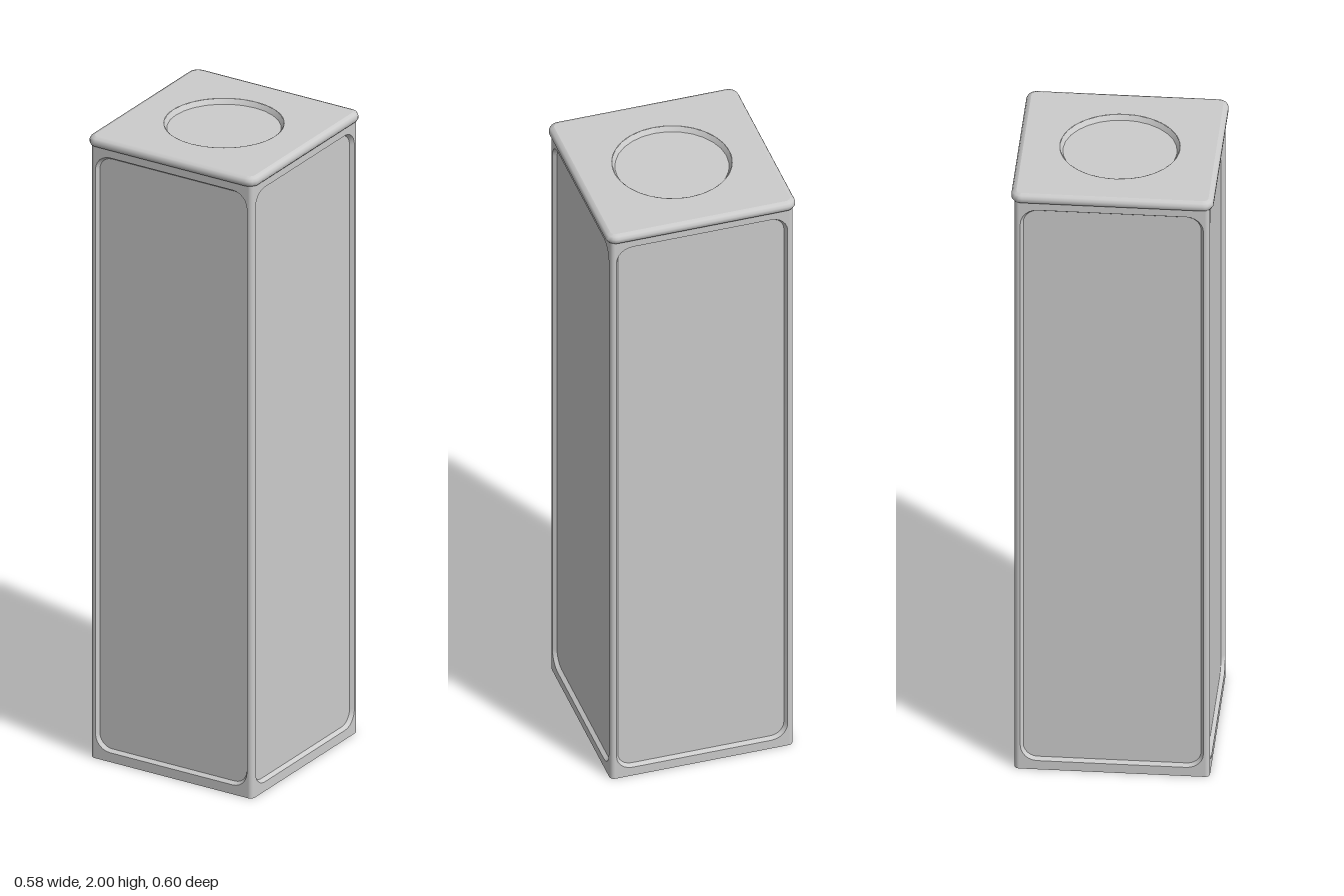
import * as THREE from 'three';
import { toCreasedNormals } from 'three/addons/utils/BufferGeometryUtils.js';

const HX = 0.282, HZ = 0.288, BODY_TOP = 1.975, POST_R = 0.014;
const material = new THREE.MeshStandardMaterial({ color: 0xcccccc, side: THREE.DoubleSide });

function add(group, name, geometry) {
  const mesh = new THREE.Mesh(geometry, material);
  mesh.name = name;
  group.add(mesh);
  return mesh;
}

// Counter-clockwise rounded rectangle about the origin
function roundedRect(hw, hh, r, n = 6) {
  const points = [];
  for (let c = 0; c < 4; c++) {
    const sx = c === 0 || c === 3 ? 1 : -1, sy = c < 2 ? 1 : -1;
    for (let i = 0; i <= n; i++) {
      const a = (c + i / n) * Math.PI / 2;
      points.push(new THREE.Vector2(sx * (hw - r) + r * Math.cos(a), sy * (hh - r) + r * Math.sin(a)));
    }
  }
  return points;
}

// Skin between closed loops, each { points, z }, stacked along z
function loft(loops, crease = 0.6) {
  const n = loops[0].points.length, pos = [], index = [];
  for (const { points, z } of loops) for (const p of points) pos.push(p.x, p.y, z);
  for (let k = 0; k < loops.length - 1; k++) {
    for (let i = 0; i < n; i++) {
      const a = k * n + i, b = k * n + (i + 1) % n;
      index.push(a, b, b + n, a, b + n, a + n);
    }
  }
  const geometry = new THREE.BufferGeometry();
  geometry.setAttribute('position', new THREE.Float32BufferAttribute(pos, 3));
  geometry.setIndex(index);
  return toCreasedNormals(geometry, crease);
}

// One wall: flat frame, sloped step and recessed panel, facing +z
function createWall(halfWidth) {
  const wall = new THREE.Group();
  const bottom = 0.03, top = 1.945, depth = 0.012, slope = 0.008, radius = 0.05;
  const hw = halfWidth - 0.018, hh = (top - bottom) / 2, mid = (top + bottom) / 2;
  const outer = roundedRect(hw, hh, radius);
  const inner = roundedRect(hw - slope, hh - slope, radius - slope);

  const e = halfWidth - POST_R;
  const frame = new THREE.Shape([[-e, -mid], [e, -mid], [e, BODY_TOP - mid], [-e, BODY_TOP - mid]]
    .map(([x, y]) => new THREE.Vector2(x, y)));
  frame.holes.push(new THREE.Path(outer));
  add(wall, 'wallFrame', new THREE.ShapeGeometry(frame));
  add(wall, 'panelStep', loft([{ points: inner, z: -depth }, { points: outer, z: 0 }]).scale(1, 1, 1));
  add(wall, 'recessedPanel', new THREE.ShapeGeometry(new THREE.Shape(inner)).translate(0, 0, -depth));
  wall.children.forEach((mesh) => { mesh.position.y = mid; });
  return wall;
}

function createBody() {
  const body = new THREE.Group();
  body.name = 'body';
  ['frontWall', 'leftWall', 'backWall', 'rightWall'].forEach((name, i) => {
    const wall = createWall(i % 2 ? HZ : HX);
    const a = i * Math.PI / 2, reach = i % 2 ? HX : HZ;
    wall.name = name;
    wall.rotation.y = a;
    wall.position.set(Math.sin(a) * reach, 0, Math.cos(a) * reach);
    body.add(wall);
  });
  // Rounded upright edges between the walls
  [[1, 1], [1, -1], [-1, -1], [-1, 1]].forEach(([sx, sz], i) => {
    const post = add(body, 'cornerEdge', new THREE.CylinderGeometry(
      POST_R, POST_R, BODY_TOP, 5, 1, true, i * Math.PI / 2, Math.PI / 2));
    post.position.set(sx * (HX - POST_R), BODY_TOP / 2, sz * (HZ - POST_R));
  });
  return body;
}

function createLid() {
  const lid = new THREE.Group();
  lid.name = 'lid';
  const ring = (inset, z) => ({ points: roundedRect(0.292 - inset, 0.298 - inset, 0.032 - inset), z });
  const topRing = ring(0.015, 2);

  // Overhanging rim with a bevelled upper edge
  const rim = loft([ring(0.016, 1.97), ring(0.004, 1.972), ring(0, 1.978),
    ring(0, 1.988), ring(0.004, 1.996), topRing], 0.9);
  add(lid, 'lidRim', rim.rotateX(-Math.PI / 2));

  // Top plate around the round recess
  const plate = new THREE.Shape(topRing.points);
  const hole = new THREE.Path();
  hole.absarc(0, 0, 0.177, 0, Math.PI * 2, true);
  plate.holes.push(hole);
  add(lid, 'lidTop', new THREE.ShapeGeometry(plate, 28).rotateX(-Math.PI / 2).translate(0, 2, 0));

  // Shallow recess with a sloped side
  add(lid, 'recessSide', new THREE.CylinderGeometry(0.177, 0.168, 0.015, 28, 1, true)
    .scale(-1, 1, 1)).position.y = 1.9925;
  const side = lid.children[lid.children.length - 1].geometry;
  const idx = side.index.array;
  for (let i = 0; i < idx.length; i += 3) [idx[i], idx[i + 1]] = [idx[i + 1], idx[i]];
  for (let i = 0; i < idx.length; i += 3) [idx[i], idx[i + 1]] = [idx[i + 1], idx[i]];
  side.computeVertexNormals();
  add(lid, 'recessFloor', new THREE.CircleGeometry(0.168, 28).rotateX(-Math.PI / 2)).position.y = 1.985;
  return lid;
}

export function createModel() {
  const model = new THREE.Group();
  model.name = 'squareCanister';
  model.add(createBody(), createLid());
  return model;
}
